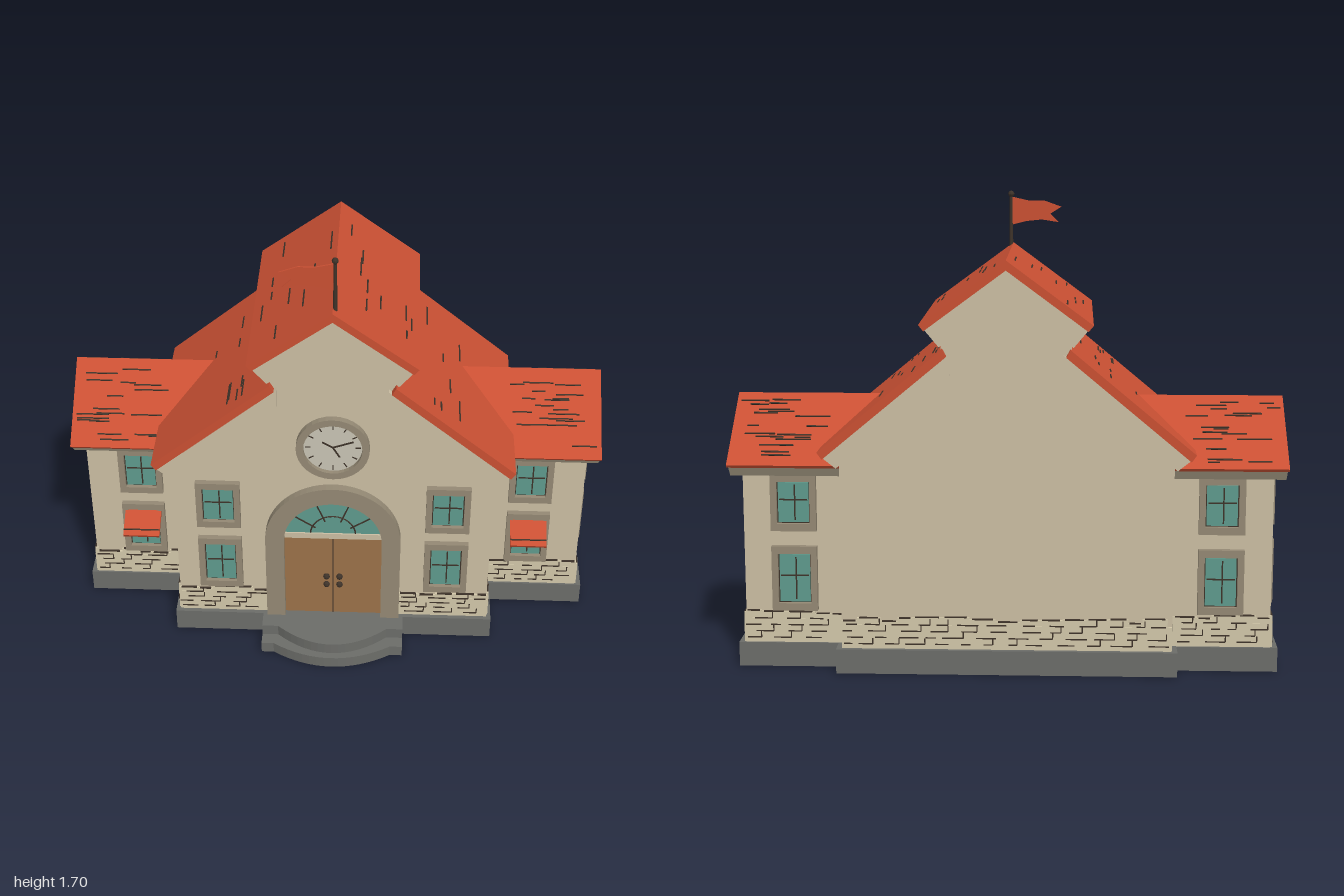
import * as THREE from 'three';

const mat = (name, color) => Object.assign(new THREE.MeshStandardMaterial({ color, flatShading: true }), { name });

export function createModel() {
  const M = {
    wall: mat('cream plaster', 0xcbbea3),
    stone: mat('pale stone', 0xd3c8aa),
    trim: mat('taupe trim', 0x948974),
    roof: mat('red roof', 0xca5033),
    glass: mat('teal glass', 0x5f9b8d),
    door: mat('brown door', 0x9c7249),
    base: mat('grey base', 0x6c6d69),
    line: mat('dark line', 0x3d3229),
    dial: mat('clock dial', 0xc9c5b5),
  };
  M.flag = M.roof.clone();
  M.flag.name = 'red flag';
  M.flag.side = THREE.DoubleSide;
  const root = new THREE.Group();
  root.name = 'schoolhouse';

  let seed = 7;
  const rnd = (a, b) => {
    seed = (seed * 16807) % 2147483647;
    return a + (b - a) * (seed / 2147483647);
  };
  const add = (parent, name, geo, m, x = 0, y = 0, z = 0) => {
    const mesh = new THREE.Mesh(geo, m);
    mesh.name = name;
    mesh.position.set(x, y, z);
    parent.add(mesh);
    return mesh;
  };
  const box = (parent, name, m, w, h, d, x, y, z) => add(parent, name, new THREE.BoxGeometry(w, h, d), m, x, y, z);
  const group = (parent, name, x, y, z, ry = 0) => {
    const g = new THREE.Group();
    g.name = name;
    g.position.set(x, y, z);
    g.rotation.y = ry;
    parent.add(g);
    return g;
  };
  const poly = (pts) => new THREE.Shape(pts.map(([x, y]) => new THREE.Vector2(x, y)));
  const extrude = (shape, depth) => new THREE.ExtrudeGeometry(shape, { depth, bevelEnabled: false, curveSegments: 16 });
  // Closes a half profile by mirroring it across x = 0
  const both = (pts) => pts.concat(pts.filter((p) => p[0] > 0).reverse().map(([x, y]) => [-x, y]));
  // Symmetric roof slab: ridge, eave, and the eave's lower corner
  const chevron = (ridge, eave, low, t) => poly([[0, ridge], eave, low, [0, ridge - t], [-low[0], low[1]], [-eave[0], eave[1]]]);

  // Broken shingle lines on a slope that falls along +x from (x0,y0) to (x1,y1), ridge along z
  function shingles(parent, [x0, y0], [x1, y1], z0, z1, n) {
    const len = Math.hypot(x1 - x0, y1 - y0), a = Math.atan2(y1 - y0, x1 - x0);
    for (let i = 0; i < n; i++) {
      const t = rnd(0.08, 0.95), l = rnd(0.04, 0.13);
      const m = box(parent, 'shingleLine', M.line, 0.005, 0.006, l,
        x0 + (x1 - x0) * t, y0 + (y1 - y0) * t, rnd(z0 + l / 2, z1 - l / 2));
      m.rotation.z = x1 < x0 ? a + Math.PI : a;
      m.userData.length = len;
    }
  }

  // Rough masonry strip facing local +z
  function masonry(x, z, ry, w) {
    const g = group(root, 'stoneCourse', x, 0.09, z, ry);
    box(g, 'stoneBand', M.stone, w, 0.09, 0.016, 0, 0.045, 0);
    for (let u = -w / 2; u < w / 2 - 0.02;) {
      const l = Math.min(rnd(0.05, 0.11), w / 2 - u), h = rnd(0.012, 0.03);
      box(g, 'topStone', M.stone, l, h, 0.014, u + l / 2, 0.09 + h / 2, 0);
      box(g, 'topJoint', M.line, l * 0.8, 0.004, 0.014, u + l / 2, 0.09 + h, 0.001);
      u += l;
    }
    for (let r = 0; r < 4; r++) {
      for (let u = -w / 2 + rnd(0, 0.04); u < w / 2 - 0.05;) {
        const l = Math.min(rnd(0.03, 0.08), w / 2 - u);
        box(g, 'joint', M.line, l, 0.0045, 0.004, u + l / 2, 0.018 + r * 0.024, 0.008);
        if (rnd(0, 1) > 0.5) box(g, 'joint', M.line, 0.004, 0.022, 0.004, u + l, 0.029 + r * 0.024, 0.008);
        u += l + rnd(0.02, 0.06);
      }
    }
  }

  // Framed window facing local +z
  function windowUnit(x, y, z, ry, h) {
    const g = group(root, 'window', x, y, z, ry), w = 0.165, b = 0.023, k = h / 2;
    const frame = poly([[-w / 2, -k], [w / 2, -k], [w / 2, k], [-w / 2, k]]);
    const iw = w / 2 - b, ih = k - b * 1.2;
    frame.holes.push(new THREE.Path([[-iw, -ih], [-iw, ih], [iw, ih], [iw, -ih]].map((p) => new THREE.Vector2(...p))));
    add(g, 'windowFrame', extrude(frame, 0.022), M.trim);
    box(g, 'windowShadowLine', M.line, iw * 2, ih * 2, 0.006, 0, 0, 0.003);
    box(g, 'windowGlass', M.glass, iw * 2 - 0.008, ih * 2 - 0.008, 0.009, 0, 0, 0.005);
    box(g, 'mullion', M.line, 0.005, ih * 1.7, 0.004, 0.005, 0, 0.01);
    box(g, 'transom', M.line, iw * 1.7, 0.005, 0.004, 0, 0.01, 0.01);
  }

  // Main hall
  const wallShape = poly(both([[0, 1.43], [0.23, 1.245], [0.23, 1.13], [0.595, 0.81], [0.595, 0.08]]));
  add(root, 'mainWalls', extrude(wallShape, 0.71), M.wall, 0, 0, -0.445);
  box(root, 'mainBase', M.base, 1.23, 0.09, 0.76, 0, 0.045, -0.09);

  // Main roof, upper and lower pitches with cream soffits
  add(root, 'upperRoof', extrude(chevron(1.497, [0.305, 1.272], [0.287, 1.25], 0.035), 0.78), M.roof, 0, 0, -0.485);
  add(root, 'upperSoffit', extrude(chevron(1.463, [0.285, 1.25], [0.235, 1.19], 0.06), 0.745), M.wall, 0, 0, -0.46);
  for (const s of [-1, 1]) {
    const mir = (pts) => poly(pts.map(([x, y]) => [x * s, y]));
    add(root, 'lowerRoof', extrude(mir([[0.225, 1.185], [0.67, 0.815], [0.652, 0.79], [0.21, 1.158]]), 0.765), M.roof, 0, 0, -0.475);
    add(root, 'lowerSoffit', extrude(mir([[0.2, 1.165], [0.65, 0.791], [0.605, 0.755], [0.2, 1.09]]), 0.745), M.wall, 0, 0, -0.46);
    shingles(root, [0, 1.497], [0.305 * s, 1.272], -0.47, 0.28, 9);
    shingles(root, [0.225 * s, 1.185], [0.5 * s, 0.956], -0.46, 0.28, 11);
  }

  // Side wings
  for (const s of [-1, 1]) {
    const wing = group(root, s > 0 ? 'leftWing' : 'rightWing', 0, 0, -0.16, Math.PI / 2);
    const prism = (name, shape, x0, x1, m) => add(wing, name, extrude(shape, x1 - x0), m, 0, 0, s > 0 ? x0 : -x1);
    prism('wingWalls', poly(both([[0, 0.94], [0.22, 0.76], [0.22, 0.08]])), 0.5, 0.953, M.wall);
    prism('wingSoffit', chevron(0.963, [0.275, 0.75], [0.243, 0.715], 0.05), 0.5, 0.993, M.wall);
    prism('wingRoof', chevron(0.977, [0.282, 0.76], [0.275, 0.75], 0.014), 0.47, 1, M.roof);
    for (const d of [-1, 1]) {
      shingles(wing, [0, 0.977], [0.282 * d, 0.76], s > 0 ? 0.64 : -0.99, s > 0 ? 0.99 : -0.64, 18);
    }
    box(root, 'wingBase', M.base, 0.4, 0.09, 0.47, s * 0.78, 0.045, -0.16);

    // Windows on front, gable end and back
    for (const [y, h] of [[0.615, 0.21], [0.333, 0.24]]) {
      windowUnit(s * 0.43, y + 0.01, 0.265, 0, h);
      windowUnit(s * 0.75, y, 0.06, 0, h);
      windowUnit(s * 0.953, y, -0.155, s * Math.PI / 2, h);
      windowUnit(s * 0.77, y, -0.38, Math.PI, h);
    }

    // Awning over the lower wing window
    const awning = box(root, 'awning', M.roof, 0.14, 0.014, 0.12, s * 0.75, 0.395, 0.118);
    awning.rotation.x = 0.5;
    const seam = box(root, 'awningLine', M.line, 0.14, 0.004, 0.005, s * 0.75, 0.385, 0.153);
    seam.rotation.x = 0.5;

    // Masonry around each wing and the hall front
    masonry(s * 0.425, 0.265, 0, 0.345);
    masonry(s * 0.595, 0.163, s * Math.PI / 2, 0.2);
    masonry(s * 0.777, 0.06, 0, 0.355);
    masonry(s * 0.953, -0.16, s * Math.PI / 2, 0.45);
    masonry(s * 0.777, -0.38, Math.PI, 0.355);
  }
  masonry(0, -0.445, Math.PI, 1.19);

  // Entrance arch
  const arch = (r, y0, cy) => {
    const p = new THREE.Shape();
    p.moveTo(-r, y0);
    p.lineTo(r, y0);
    p.lineTo(r, cy);
    p.absarc(0, cy, r, 0, Math.PI, false);
    p.closePath();
    return p;
  };
  const surround = arch(0.256, 0.08, 0.47);
  surround.holes.push(arch(0.185, 0.08, 0.47));
  add(root, 'doorSurround', extrude(surround, 0.035), M.trim, 0, 0, 0.262);
  add(root, 'fanlight', extrude(arch(0.185, 0.47, 0.471), 0.008), M.glass, 0, 0, 0.262);
  box(root, 'door', M.door, 0.37, 0.39, 0.009, 0, 0.28, 0.266);
  box(root, 'doorSplit', M.line, 0.004, 0.38, 0.004, 0, 0.275, 0.27);
  box(root, 'doorLintel', M.wall, 0.368, 0.024, 0.016, 0, 0.482, 0.268);
  for (const a of [0.6, 1.2, 1.95, 2.55]) {
    const bar = box(root, 'fanlightBar', M.line, 0.1, 0.005, 0.004, 0.13 * Math.cos(a), 0.475 + 0.13 * Math.sin(a), 0.271);
    bar.rotation.z = a;
  }
  const fanRing = new THREE.TorusGeometry(0.085, 0.003, 4, 16, Math.PI);
  add(root, 'fanlightRing', fanRing, M.line, 0, 0.49, 0.27);
  for (const x of [-0.025, 0.025]) {
    for (const y of [0.238, 0.278]) add(root, 'doorKnob', new THREE.SphereGeometry(0.013, 8, 6), M.line, x, y, 0.274);
  }

  // Rounded entrance steps
  const step = (zFlat, zTip, half, y0, h) => {
    const p = new THREE.Shape();
    p.moveTo(-0.272, -0.28);
    p.lineTo(-0.272, -zFlat);
    p.lineTo(-half, -zFlat);
    p.quadraticCurveTo(0, -(2 * zTip - zFlat), half, -zFlat);
    p.lineTo(0.272, -zFlat);
    p.lineTo(0.272, -0.28);
    add(root, 'entranceStep', extrude(p, h), M.base, 0, y0, 0).rotation.x = -Math.PI / 2;
  };
  step(0.41, 0.483, 0.225, 0, 0.045);
  step(0.36, 0.455, 0.21, 0.045, 0.045);

  // Clock
  const clock = group(root, 'clock', 0, 0.905, 0.265);
  const ring = new THREE.Shape().absarc(0, 0, 0.135, 0, Math.PI * 2);
  ring.holes.push(new THREE.Path().absarc(0, 0, 0.108, 0, Math.PI * 2));
  add(clock, 'clockRing', extrude(ring, 0.025), M.trim);
  add(clock, 'clockDial', new THREE.CylinderGeometry(0.11, 0.11, 0.016, 32), M.dial).rotation.x = Math.PI / 2;
  for (let i = 0; i < 12; i++) {
    const a = (i * Math.PI) / 6;
    box(clock, 'hourMark', M.line, 0.02, 0.004, 0.004, 0.092 * Math.cos(a), 0.092 * Math.sin(a), 0.008).rotation.z = a;
  }
  for (const [a, l] of [[0.35, 0.08], [2.6, 0.045], [-1.05, 0.05]]) {
    box(clock, 'clockHand', M.line, l, 0.006, 0.004, Math.cos(a) * l / 2, Math.sin(a) * l / 2, 0.009).rotation.z = a;
  }

  // Flag on its pole
  add(root, 'flagPole', new THREE.CylinderGeometry(0.006, 0.008, 0.21, 8), M.line, 0.008, 1.58, 0.255);
  add(root, 'poleFinial', new THREE.SphereGeometry(0.012, 8, 6), M.line, 0.008, 1.686, 0.255);
  const flagShape = poly([[0.005, 1.675], [-0.06, 1.66], [-0.12, 1.66], [-0.185, 1.637], [-0.142, 1.61],
    [-0.175, 1.578], [-0.11, 1.588], [-0.05, 1.582], [0.005, 1.568]]);
  add(root, 'flag', extrude(flagShape, 0.006), M.flag, 0, 0, 0.252);

  return root;
}
